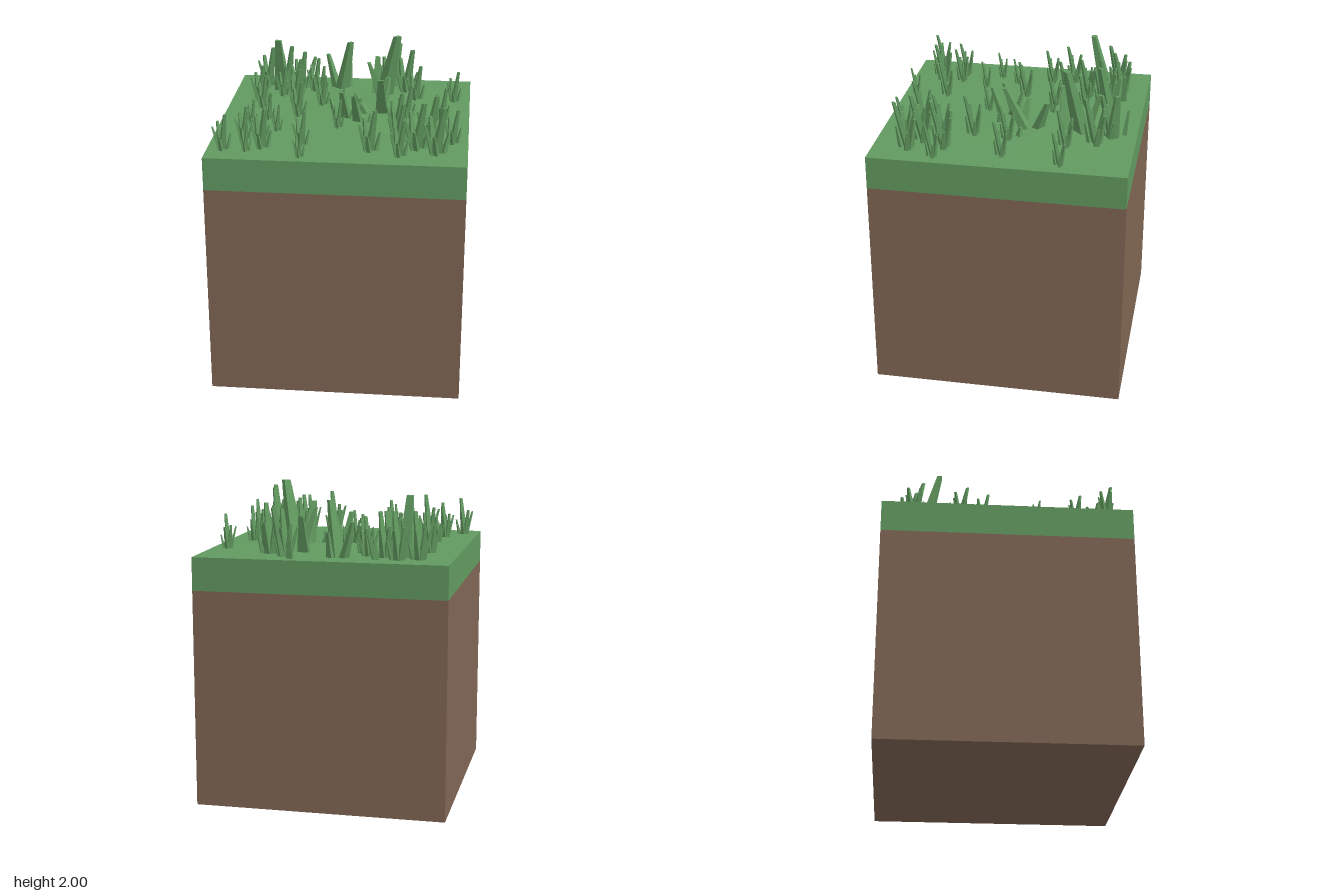
import * as THREE from 'three';
import { mergeGeometries } from 'three/addons/utils/BufferGeometryUtils.js';

const SIDE = 1.56, SOIL_TOP = 1.355, TOP = 1.56;

// Tapered four-sided blade, sheared from its foot (x, z) to its tip (x + dx, z + dz)
function blade(x, z, dx, dz, height, width) {
  const g = new THREE.CylinderGeometry(width * 0.3, width * 0.7, height, 4, 1).toNonIndexed();
  g.rotateY(Math.PI / 4);
  g.scale(1, 1, 0.75);
  g.rotateY(Math.atan2(dx, dz));
  g.translate(0, height / 2, 0);
  const p = g.attributes.position;
  for (let i = 0; i < p.count; i++) {
    const t = p.getY(i) / height;
    p.setXYZ(i, p.getX(i) + x + dx * t, TOP - 0.005 + p.getY(i), p.getZ(i) + z + dz * t);
  }
  g.computeVertexNormals();
  return g;
}

// One tuft: foot x, z, lean x, z, height, width
const TUFT = [
  [-0.01, -0.015, 0.045, 0.065, 0.31, 0.055],
  [-0.025, 0.015, -0.055, 0.015, 0.2, 0.045],
  [-0.025, -0.02, -0.025, -0.035, 0.22, 0.045],
  [0.0, -0.03, 0.015, -0.035, 0.2, 0.04],
  [0.035, -0.02, 0.03, -0.015, 0.13, 0.035],
  [-0.01, 0.025, -0.012, 0.03, 0.13, 0.035],
];

// Tufts: x, z, scale
const TUFTS = [
  [0.6, 0.58, 1], [0.48, 0.51, 1], [0.55, 0.37, 1], [0.2, 0.57, 0.85], [0.38, 0.64, 0.7],
  [0.34, 0.22, 0.8], [0.36, 0.41, 0.8], [0.69, 0.4, 0.65], [0.61, 0, 0.65], [0.39, 0, 0.7],
  [0.43, -0.36, 0.75], [0.68, -0.36, 0.6], [-0.3, 0, 0.7], [-0.35, -0.26, 0.7],
  [-0.59, -0.28, 0.75], [-0.22, 0.51, 0.65], [-0.68, 0.63, 0.7], [-0.58, 0.45, 0.65],
  [-0.47, 0.46, 0.65], [-0.45, 0.58, 0.8], [-0.54, 0.64, 0.45], [-0.21, 0.71, 0.45],
  [-0.4, 0.28, 0.45], [-0.57, 0.2, 0.45], [-0.48, 0.08, 0.45], [-0.17, -0.21, 0.6],
  [-0.04, -0.22, 0.3], [-0.03, 0.19, 0.5], [-0.2, -0.4, 0.6], [-0.36, -0.4, 0.8],
  [-0.45, -0.38, 0.6], [-0.25, -0.5, 0.7], [-0.55, -0.14, 0.65], [-0.57, -0.57, 0.9],
  [-0.45, -0.61, 0.9], [-0.35, -0.53, 0.85], [0.24, -0.61, 0.9], [0.36, -0.53, 1],
];

// Broad single blades: foot x, z, lean x, z, height, width
const BROAD = [
  [0.21, -0.44, 0.09, 0.09, 0.44, 0.1],
  [0.21, -0.33, -0.09, 0.02, 0.27, 0.07],
  [0.22, -0.09, 0, 0.13, 0.27, 0.08],
  [0.21, -0.16, 0.04, -0.07, 0.2, 0.07],
  [0.13, -0.06, -0.08, -0.02, 0.14, 0.055],
  [0.0, 0.01, -0.02, 0.08, 0.2, 0.06],
  [0.02, 0.03, 0.08, -0.04, 0.13, 0.05],
  [-0.06, 0.01, -0.04, -0.03, 0.12, 0.04],
  [0.08, 0.07, -0.02, 0.08, 0.2, 0.055],
  [0.35, -0.07, -0.01, -0.01, 0.07, 0.045],
  [0.15, 0.09, 0.01, 0, 0.07, 0.03],
  [-0.08, -0.58, 0.06, 0.06, 0.34, 0.08],
  [-0.12, -0.6, -0.06, -0.03, 0.22, 0.055],
  [-0.04, -0.62, 0.01, -0.02, 0.16, 0.04],
  [-0.48, -0.51, -0.01, 0.09, 0.37, 0.09],
  [-0.32, -0.63, 0.05, -0.02, 0.19, 0.05],
  [0.16, -0.47, 0, -0.07, 0.24, 0.07],
  [0.19, -0.7, 0, -0.02, 0.17, 0.04],
  [0.25, -0.63, 0.05, -0.03, 0.3, 0.07],
];

export function createModel() {
  const model = new THREE.Group();
  const soilMat = new THREE.MeshStandardMaterial({ color: 0x806654 });
  soilMat.name = 'soil brown';
  const grassMat = new THREE.MeshStandardMaterial({ color: 0x629a60 });
  grassMat.name = 'grass green';
  const add = (name, geometry, material) => {
    const mesh = new THREE.Mesh(geometry, material);
    mesh.name = name;
    model.add(mesh);
    return mesh;
  };

  // Block of earth with its turf layer
  add('soil', new THREE.BoxGeometry(SIDE, SOIL_TOP, SIDE), soilMat).position.y = SOIL_TOP / 2;
  add('turf', new THREE.BoxGeometry(SIDE, TOP - SOIL_TOP, SIDE), grassMat)
    .position.y = (TOP + SOIL_TOP) / 2;

  // Barely raised ground among the tall blades
  add('lowMound', new THREE.ConeGeometry(0.5, 0.02, 12, 1, true), grassMat)
    .position.set(0.22, TOP + 0.01, -0.22);

  // Tufts share one pattern; small ones stay relatively upright
  const tufts = TUFTS.flatMap(([x, z, s]) => TUFT.map(([fx, fz, dx, dz, h, w]) =>
    blade(x + fx * s, z + fz * s, dx * s, dz * s, h * (0.25 + 0.75 * s), w * s)));
  add('grassTufts', mergeGeometries(tufts), grassMat);
  add('broadBlades', mergeGeometries(BROAD.map((b) => blade(...b))), grassMat);

  return model;
}
